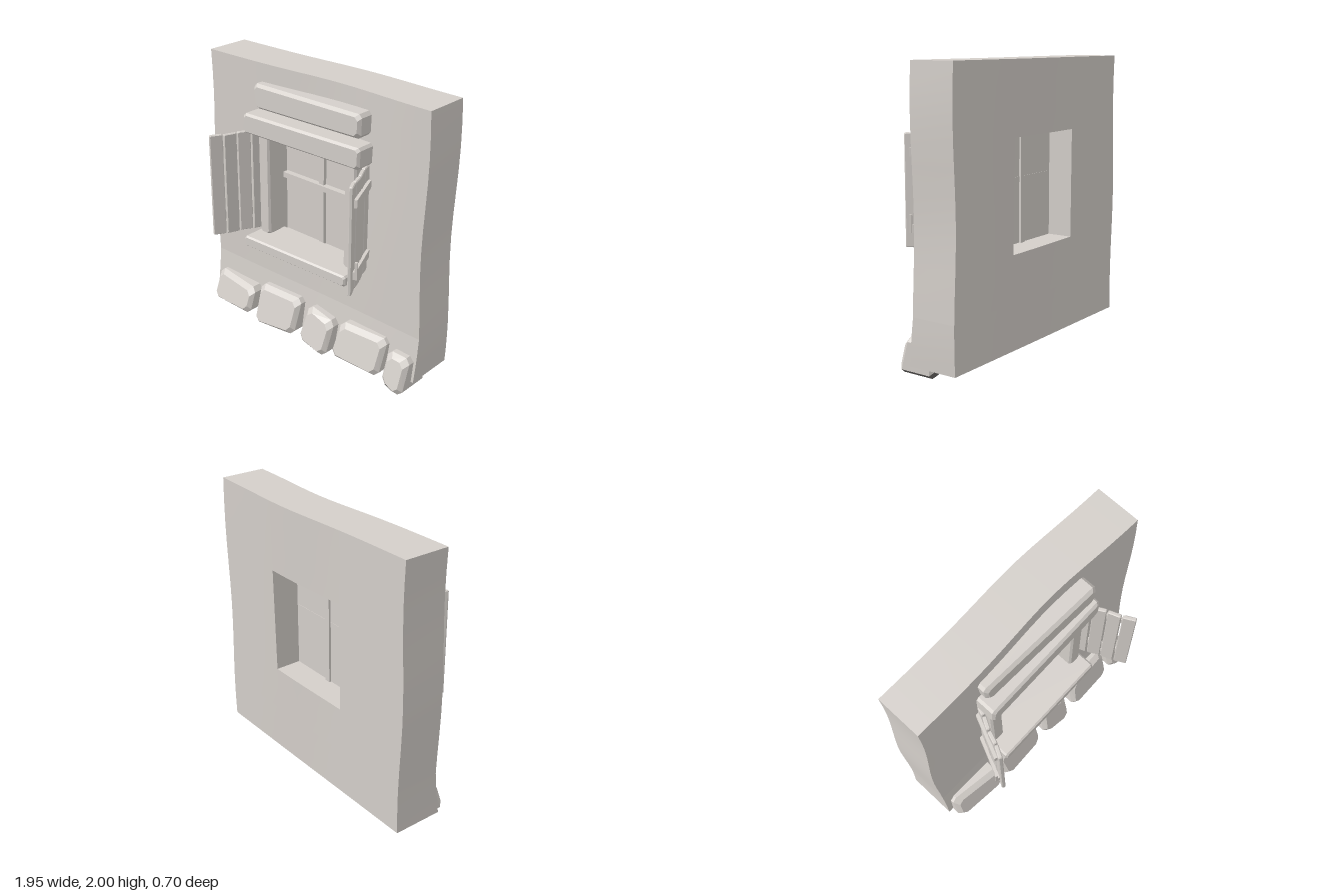
import * as THREE from 'three';
import { ConvexGeometry } from 'three/addons/geometries/ConvexGeometry.js';

const stone = new THREE.MeshStandardMaterial({ color: 0xd4cfca });
stone.name = 'warm grey';
const underside = new THREE.MeshStandardMaterial({ color: 0x6c6a67 });
underside.name = 'dark grey';

function add(parent, name, geometry, material = stone) {
  const mesh = new THREE.Mesh(geometry, material);
  mesh.name = name;
  parent.add(mesh);
  return mesh;
}

// Faceted block from four front corners (counter-clockwise) with chamfered edges.
// front(x, y) gives the depth of its front face.
function chamferedBlock(corners, back, front, bevel, backBevel = 0) {
  const points = corners.map(([x, y]) => new THREE.Vector2(x, y));
  const centre = points.reduce((s, p) => s.add(p), new THREE.Vector2()).divideScalar(4);
  const outline = [];
  points.forEach((p, i) => {
    for (const q of [points[(i + 3) % 4], points[(i + 1) % 4]]) {
      outline.push(p.clone().add(q.clone().sub(p).setLength(bevel)));
    }
  });
  const inset = (p, d) => new THREE.Vector2(
    p.x - Math.sign(p.x - centre.x) * d, p.y - Math.sign(p.y - centre.y) * d);
  const hull = [];
  for (const p of outline) {
    const f = inset(p, bevel * 0.8), b = inset(p, backBevel);
    hull.push(new THREE.Vector3(b.x, b.y, back));
    if (backBevel) hull.push(new THREE.Vector3(p.x, p.y, back + backBevel));
    hull.push(new THREE.Vector3(p.x, p.y, front(p.x, p.y) - bevel));
    hull.push(new THREE.Vector3(f.x, f.y, front(f.x, f.y)));
  }
  return new ConvexGeometry(hull);
}

const rect = (x0, x1, y0, y1) => [[x0, y0], [x1, y0], [x1, y1], [x0, y1]];

// Faces pointing down more steeply than the limit take the second material
function groupUnderside(geometry, limit) {
  const n = geometry.attributes.normal;
  for (let i = 0; i < n.count; i += 3) geometry.addGroup(i, 3, n.getY(i) < limit ? 1 : 0);
  return geometry;
}

// Gentle warp of the wall: bowed top, wavy sides, flared foot
function warpWall(geometry) {
  const p = geometry.attributes.position;
  for (let i = 0; i < p.count; i++) {
    const x = p.getX(i), y = p.getY(i), z = p.getZ(i);
    const depth = z > -0.1 ? 0.04 : 0.031;
    const bow = -depth * Math.exp(-(((x - 0.22) / 0.48) ** 2)) * (y / 2);
    const flare = z > -0.1 ? 0.035 * Math.max(0, (0.4 - y) / 0.33) : 0;
    const side = -0.012 * Math.cos((y - 1) * 4.5) * Math.max(0, Math.abs(x) - 0.4) / 0.56;
    p.setXYZ(i, x + side, y, z + bow + flare);
  }
  geometry.computeVertexNormals();
  return geometry;
}

function buildWall(root) {
  const wall = new THREE.Group();
  wall.name = 'wall';
  root.add(wall);
  const footMaterials = [stone, stone, stone, underside, stone, stone];
  const slabs = [
    ['wallRightOfWindow', -0.965, -0.36, 0.4, 2, stone],
    ['wallLeftOfWindow', 0.36, 0.965, 0.4, 2, stone],
    ['wallAboveWindow', -0.36, 0.36, 1.5, 2, stone],
    ['wallBelowWindow', -0.36, 0.36, 0.4, 0.73, stone],
    ['wallFoot', -0.965, 0.965, 0.07, 0.4, footMaterials],
  ];
  for (const [name, x0, x1, y0, y1, material] of slabs) {
    const g = new THREE.BoxGeometry(x1 - x0, y1 - y0, 0.33,
      Math.round((x1 - x0) / 0.12), Math.ceil((y1 - y0) / 0.16), 1);
    g.translate((x0 + x1) / 2, (y0 + y1) / 2, -0.16);
    add(wall, name, warpWall(g), material);
  }
}

function buildWindow(root) {
  const win = new THREE.Group();
  win.name = 'window';
  root.add(win);
  add(win, 'pane', new THREE.BoxGeometry(0.74, 0.79, 0.008).translate(0, 1.115, -0.14));
  add(win, 'verticalBar', new THREE.BoxGeometry(0.042, 0.79, 0.05).translate(-0.002, 1.12, -0.135));
  add(win, 'horizontalBar', new THREE.BoxGeometry(0.69, 0.04, 0.055).translate(-0.008, 1.174, -0.119));
  for (const s of [-1, 1]) {
    const [x0, x1] = s < 0 ? [-0.45, -0.35] : [0.345, 0.445];
    add(win, s < 0 ? 'rightJamb' : 'leftJamb',
      chamferedBlock(rect(x0, x1, 0.74, 1.53), -0.06, () => 0.06, 0.015));
  }
  add(win, 'sill', chamferedBlock(rect(-0.47, 0.465, 0.67, 0.75), -0.1,
    (x) => 0.19 - 0.025 * x, 0.013));
  add(win, 'lintel', chamferedBlock([[-0.51, 1.525], [0.515, 1.518], [0.52, 1.668], [-0.5, 1.67]],
    -0.06, (x) => 0.138 - 0.03 * x, 0.018));
  add(win, 'upperLintelStone', chamferedBlock([[-0.465, 1.69], [0.495, 1.715], [0.5, 1.88], [-0.48, 1.868]],
    -0.06, (x) => 0.085 + 0.025 * x, 0.024));
}

// Open shutter; local x runs from the hinge outwards
function buildShutter(name) {
  const mirror = new THREE.Group();
  mirror.name = name;
  const shutter = new THREE.Group();
  shutter.name = 'shutterLeaf';
  shutter.position.set(0.475, 0, -0.03);
  shutter.rotation.y = -1.15;
  mirror.add(shutter);
  for (let i = 0; i < 4; i++) {
    const plank = add(shutter, 'plank', chamferedBlock(
      rect(-0.047, 0.047, 0.748 + 0.003 * (i % 2), 1.519 - 0.003 * (i % 3)),
      -0.014, () => 0.014, 0.006, 0.006));
    plank.position.x = 0.055 + i * 0.102;
    plank.rotation.y = i % 2 ? 0.08 : -0.06;
  }
  for (const y of [0.882, 1.392]) {
    add(shutter, 'strap', new THREE.BoxGeometry(0.33, 0.056, 0.022).translate(0.205, y, -0.024));
  }
  add(shutter, 'latch', new THREE.BoxGeometry(0.016, 0.125, 0.018).translate(0.364, 0.917, -0.036));
  return mirror;
}

// Foundation stones: corners, front depth, its slope along x, limit of the dark underside
function buildStones(root) {
  const stones = [
    [[[-0.92, 0.025], [-0.49, 0.055], [-0.478, 0.255], [-0.905, 0.265]], 0.14, 0.12, -0.85],
    [[[-0.445, 0.01], [-0.055, 0.045], [-0.042, 0.315], [-0.45, 0.305]], 0.14, 0, -0.85],
    [[[0.0, 0.045], [0.265, 0.002], [0.285, 0.265], [0.035, 0.31]], 0.14, 0, -0.85],
    [[[0.32, 0.055], [0.73, 0.04], [0.745, 0.31], [0.35, 0.31]], 0.14, -0.06, -0.85],
    [[[0.768, 0.03], [0.95, -0.008], [0.957, 0.255], [0.772, 0.26]], 0.135, 0, -0.45],
  ];
  for (const [corners, depth, slope, limit] of stones) {
    const mid = (corners[0][0] + corners[1][0]) / 2;
    const block = chamferedBlock(corners, -0.13,
      (x, y) => depth + slope * (x - mid) - 0.3 * (y - 0.12), 0.034, 0.03);
    add(root, 'foundationStone', groupUnderside(block, limit), [stone, underside]);
  }
}

export function createModel() {
  const root = new THREE.Group();
  root.name = 'wallWithWindow';
  buildWall(root);
  buildWindow(root);
  const left = buildShutter('leftShutter');
  const right = buildShutter('rightShutter');
  right.scale.x = -1;
  root.add(left, right);
  buildStones(root);
  return root;
}
